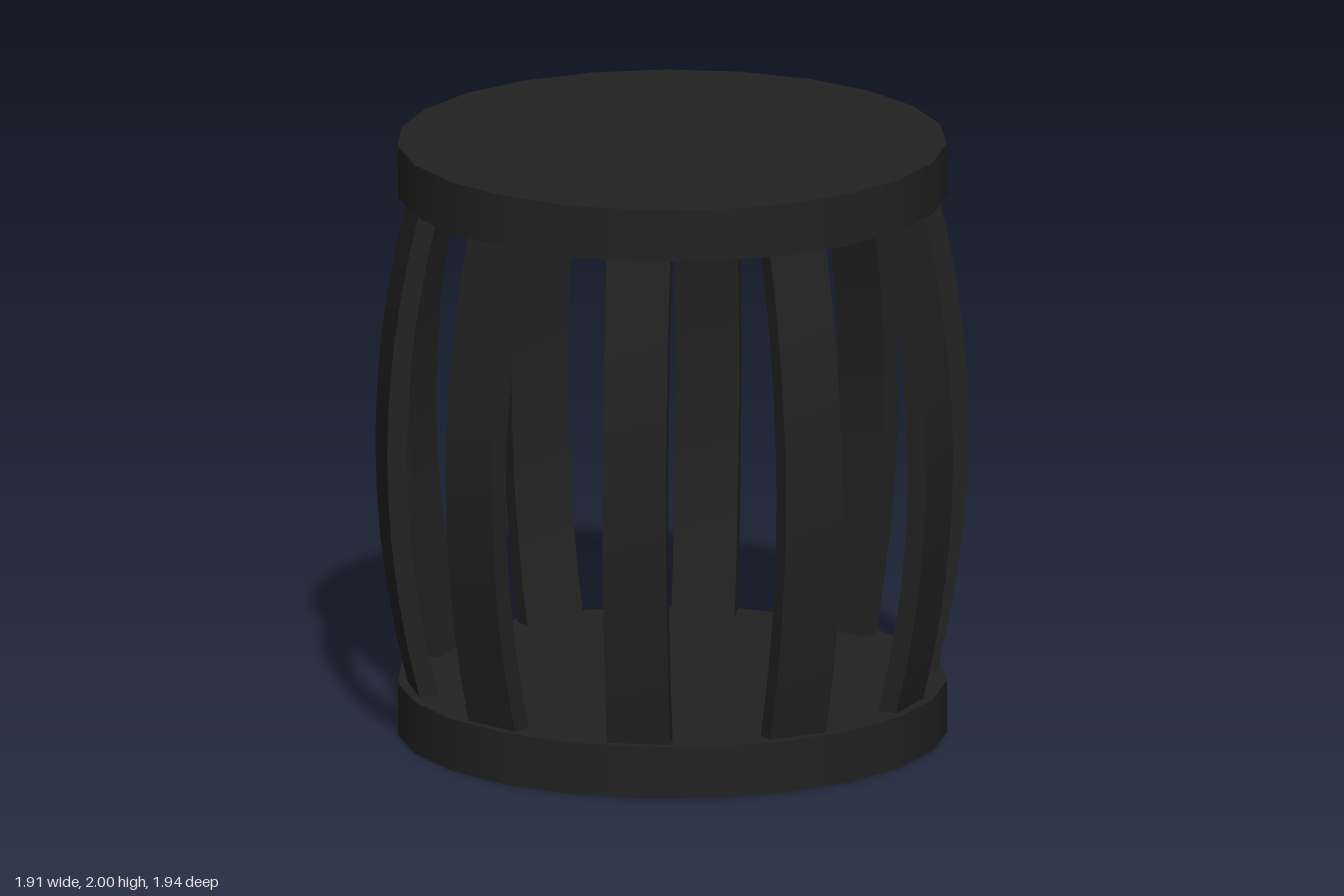
import * as THREE from 'three';
import { toCreasedNormals } from 'three/addons/utils/BufferGeometryUtils.js';

const STAVES = 10;
const WIDTH = 0.21;
const THICK = 0.065;

// Bowed bar section in the radius/height plane, extruded to the stave's width
function staveGeometry() {
  const n = 10, y0 = 0.17, y1 = 1.83;
  const outer = [], inner = [];
  for (let i = 0; i <= n; i++) {
    const y = y0 + (y1 - y0) * i / n;
    const r = 0.972 - 0.108 * ((y - 1) / 0.825) ** 2;
    outer.push(new THREE.Vector2(r, y));
    inner.unshift(new THREE.Vector2(r - THICK, y));
  }
  const geo = new THREE.ExtrudeGeometry(new THREE.Shape([...outer, ...inner]), {
    depth: WIDTH, bevelEnabled: false,
  });
  geo.translate(0, 0, -WIDTH / 2);
  return toCreasedNormals(geo, 0.6);
}

export function createModel() {
  const group = new THREE.Group();
  group.name = 'openBarrel';
  const black = new THREE.MeshStandardMaterial({ color: 0x222222 });
  black.name = 'matteBlack';

  // End discs
  const disc = new THREE.CylinderGeometry(0.904, 0.904, 0.175, 23, 1, false, Math.PI / 2);
  for (const [name, y] of [['bottomDisc', 0.0875], ['topDisc', 1.9125]]) {
    const mesh = new THREE.Mesh(disc, black);
    mesh.name = name;
    mesh.position.y = y;
    group.add(mesh);
  }

  // Ring of bowed staves, one facing straight forward
  const stave = staveGeometry();
  for (let i = 0; i < STAVES; i++) {
    const mesh = new THREE.Mesh(stave, black);
    mesh.name = `stave${i + 1}`;
    mesh.rotation.y = -Math.PI / 2 + i * 2 * Math.PI / STAVES;
    group.add(mesh);
  }
  return group;
}
